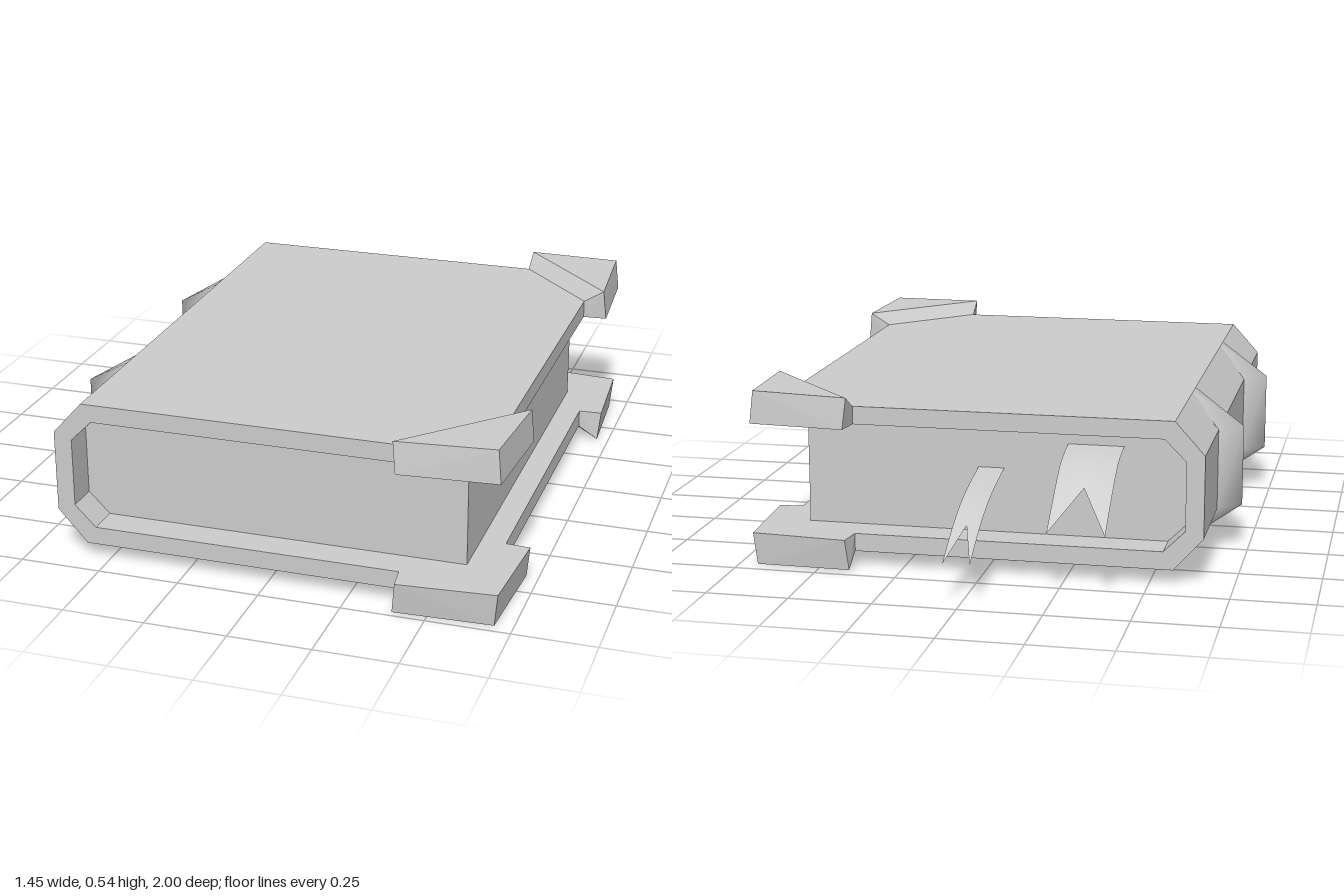
import * as THREE from 'three';
import { ConvexGeometry } from 'three/addons/geometries/ConvexGeometry.js';

const MID_Y = 0.275, MID_Z = 0.135; // mirror planes of the book

const flat = new THREE.MeshStandardMaterial({ color: 0xcccccc, flatShading: true });
const smooth = new THREE.MeshStandardMaterial({ color: 0xcccccc });
const cloth = new THREE.MeshStandardMaterial({ color: 0xcccccc, side: THREE.DoubleSide });

function mesh(name, geometry, material = flat) {
  const m = new THREE.Mesh(geometry, material);
  m.name = name;
  return m;
}

// Extrudes an x-y outline between two z positions
function prism(points, z0, z1) {
  const shape = new THREE.Shape(points.map(([x, y]) => new THREE.Vector2(x, y)));
  return new THREE.ExtrudeGeometry(shape, { depth: z1 - z0, bevelEnabled: false }).translate(0, 0, z0);
}

// Pointed band across the spine, lofted from three sections
function spineRib(z) {
  const base = [[-0.57, 0.5], [-0.66, 0.4], [-0.66, 0.15], [-0.57, 0.05]];
  const ridge = [[-0.57, 0.5], [-0.73, 0.4], [-0.73, 0.15], [-0.57, 0.05]];
  const pos = [], index = [];
  [base, ridge, base].forEach((s, i) => s.forEach(([x, y]) => pos.push(x, y, z + (i - 1) * 0.07)));
  for (let i = 0; i < 2; i++) {
    for (let j = 0; j < 3; j++) {
      const a = i * 4 + j, b = a + 1, c = a + 4, d = a + 5;
      index.push(a, b, c, c, b, d);
    }
  }
  const g = new THREE.BufferGeometry();
  g.setAttribute('position', new THREE.Float32BufferAttribute(pos, 3));
  g.setIndex(index);
  g.computeVertexNormals();
  return g;
}

// Corner guard with a bevel facing the middle of the cover
function cornerGuard(top, front) {
  const points = [
    [0.40, 0.445, 0.92], [0.65, 0.445, 0.655], [0.40, 0.50, 0.92], [0.65, 0.50, 0.655],
    [0.41, 0.445, 0.998], [0.724, 0.445, 0.66], [0.705, 0.445, 0.975],
    [0.40, 0.54, 0.988], [0.714, 0.54, 0.655], [0.695, 0.545, 0.968],
  ];
  return new ConvexGeometry(points.map(([x, y, z]) => new THREE.Vector3(
    x, top ? y : 2 * MID_Y - y, front ? z : 2 * MID_Z - z)));
}

// Drooping ribbon with a V cut; path is a list of [z, y]
function ribbon(x, width, path, notchZ) {
  const z0 = path[0][0], tipZ = path[path.length - 1][0];
  const curve = new THREE.SplineCurve(path.map(([z, y]) => new THREE.Vector2(z, y))).getPoints(40);
  const heightAt = (z) => {
    const i = Math.max(1, curve.findIndex((p) => p.x <= z + 1e-6));
    const a = curve[i - 1], b = curve[i];
    return THREE.MathUtils.mapLinear(z, a.x, b.x, a.y, b.y);
  };
  const g = new THREE.PlaneGeometry(width, 1, 2, 8);
  const p = g.attributes.position;
  for (let i = 0; i < p.count; i++) {
    const px = p.getX(i), t = 0.5 - p.getY(i);
    const end = Math.abs(px) < 1e-6 ? notchZ : tipZ;
    const z = THREE.MathUtils.lerp(z0, end, t);
    p.setXYZ(i, x + px, heightAt(z), z);
  }
  g.computeVertexNormals();
  return g;
}

export function createModel() {
  const book = new THREE.Group();
  book.name = 'book';

  // Cover with angled spine, and the page block filling it
  const inner = [[-0.54, 0.105], [-0.605, 0.17], [-0.605, 0.38], [-0.54, 0.445]];
  const outer = [[0.65, 0.5], [-0.57, 0.5], [-0.66, 0.4], [-0.66, 0.15], [-0.57, 0.05], [0.65, 0.05]];
  book.add(mesh('cover', prism([...outer, [0.65, 0.105], ...inner, [0.65, 0.445]], -0.65, 0.92)));
  book.add(mesh('pages', prism([[0.575, 0.105], ...inner, [0.575, 0.445]], -0.54, 0.82)));

  // Spine ribs
  for (const z of [-0.245, 0.51]) book.add(mesh('spineRib', spineRib(z), smooth));

  // Corner guards on both boards
  for (const top of [true, false]) {
    for (const front of [true, false]) {
      book.add(mesh(`${top ? 'top' : 'bottom'}${front ? 'Front' : 'Back'}CornerGuard`, cornerGuard(top, front)));
    }
  }

  // Bookmark ribbons hanging out of the back
  book.add(mesh('wideBookmark', ribbon(-0.32, 0.17,
    [[-0.54, 0.39], [-0.65, 0.365], [-0.74, 0.31], [-0.875, 0.207]], -0.74), cloth));
  book.add(mesh('narrowBookmark', ribbon(0, 0.08,
    [[-0.54, 0.305], [-0.72, 0.27], [-0.865, 0.215], [-1, 0.137]], -0.865), cloth));

  return book;
}
